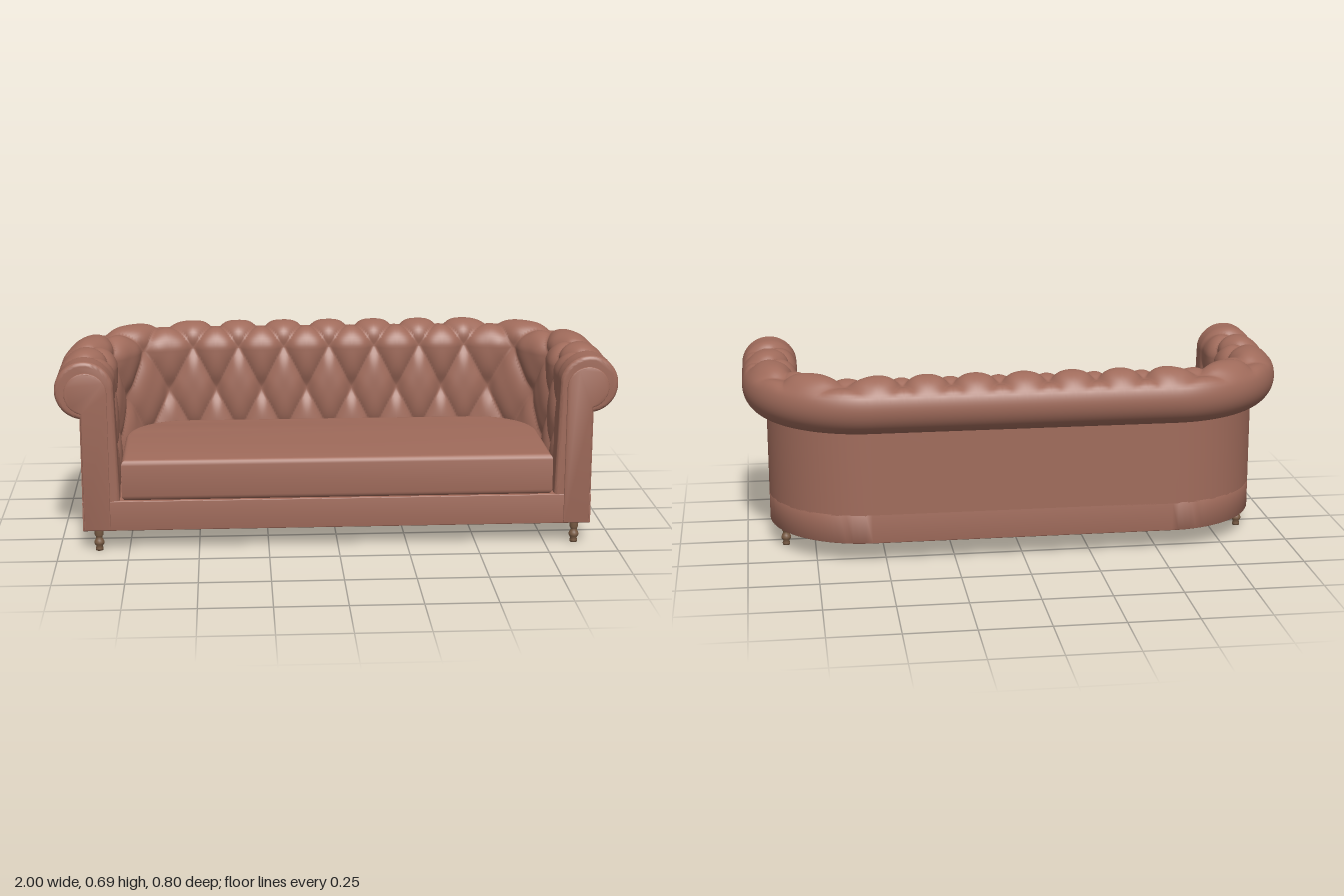
import * as THREE from 'three';
import { toCreasedNormals } from 'three/addons/utils/BufferGeometryUtils.js';

const leather = new THREE.MeshStandardMaterial({ color: 0xa06b5b });
const wood = new THREE.MeshStandardMaterial({ color: 0x7a5c44 });

// The plan is a U whose rounded back corners share one centre
const CX = 0.55, CZ = 0.05, ARC = 0.24, ARC_LEN = ARC * Math.PI / 2;
const S_END = 1.26, PITCH = S_END / 7.25, DIV = 28;
const V_DIV = DIV / 2, V0 = 7, V1 = 80;

// Point on the U at distance s along it and r outward from the corner centre
function planPoint(s, r) {
  const a = Math.abs(s), sign = Math.sign(s);
  if (a < CX) return [s, CZ - r];
  const t = (a - CX) / ARC;
  if (t < Math.PI / 2) return [sign * (CX + r * Math.sin(t)), CZ - r * Math.cos(t)];
  return [sign * (CX + r), CZ + a - CX - ARC_LEN];
}

// Outline of the U at offset r, as shape points (x, -z)
function planOutline(r, front) {
  const half = [new THREE.Vector2(CX + r, -front)];
  for (let i = 0; i <= 24; i++) {
    const t = Math.PI / 2 * (1 - i / 24);
    half.push(new THREE.Vector2(CX + r * Math.sin(t), r * Math.cos(t) - CZ));
  }
  return [...half, ...half.map(p => new THREE.Vector2(-p.x, p.y)).reverse()];
}

// Back and arm section: upright inside wall, then a round roll. v counts button rows
function section(v) {
  if (v < 3) return { r: 0.243 - (3 - v) * 0.005, y: 0.61 - (3 - v) * 0.17, nr: -1, ny: 0 };
  const a = THREE.MathUtils.degToRad(170 - (v - 3) * 92);
  const nr = Math.cos(a), ny = Math.sin(a);
  return { r: 0.345 + 0.104 * nr, y: 0.59 + 0.104 * ny, nr, ny };
}

// Depth of the diamond tufting
function tuftDepth(u, v) {
  const near = x => Math.abs(x - Math.round(x));
  const a = near(u + (v - 3) / 2), b = near(u - (v - 3) / 2);
  const puff = d => 1 - Math.pow(1 - 2 * d, 3);
  const fade = (1 - THREE.MathUtils.smoothstep(v, 4.15, 4.6))
    * (1 - THREE.MathUtils.smoothstep(Math.abs(u), 6.55, 6.95));
  return fade * (0.022 * (1 - puff(a) * puff(b)) + 0.014 * Math.exp(-(a * a + b * b) / 0.032));
}

function tuftedGeometry() {
  const cols = 2 * Math.round(S_END / PITCH * DIV), rows = V1 - V0;
  const pos = [], depth = [], index = [];
  for (let j = 0; j <= rows; j++) {
    const v = (V0 + j) / V_DIV, p = section(v);
    for (let i = 0; i <= cols; i++) {
      const u = (i - cols / 2) / DIV, d = tuftDepth(u, v);
      const [x, z] = planPoint(u * PITCH, p.r - p.nr * d);
      pos.push(x, p.y - p.ny * d, z);
      depth.push(d);
    }
  }
  // Split each quad along the deeper diagonal so folds stay crisp
  for (let j = 0; j < rows; j++) {
    for (let i = 0; i < cols; i++) {
      const a = j * (cols + 1) + i, b = a + 1, c = b + cols + 1, d = c - 1;
      if (depth[a] + depth[c] > depth[b] + depth[d]) index.push(a, b, c, a, c, d);
      else index.push(a, b, d, b, c, d);
    }
  }
  const g = new THREE.BufferGeometry();
  g.setAttribute('position', new THREE.Float32BufferAttribute(pos, 3));
  g.setIndex(index);
  g.computeVertexNormals();
  return g;
}

// Extrusion between two levels with an optional rounded edge
function slab(points, from, to, bevel = 0) {
  const g = new THREE.ExtrudeGeometry(new THREE.Shape(points), {
    depth: to - from - 2 * bevel, bevelEnabled: bevel > 0, bevelThickness: bevel,
    bevelSize: bevel, bevelOffset: -bevel, bevelSegments: 4
  });
  g.translate(0, 0, from + bevel);
  return toCreasedNormals(g, 0.6);
}
const upright = g => g.rotateX(-Math.PI / 2);

export function createModel() {
  const sofa = new THREE.Group();
  sofa.name = 'sofa';
  const add = (name, geometry, material = leather) => {
    const mesh = new THREE.Mesh(geometry, material);
    mesh.name = name;
    sofa.add(mesh);
    return mesh;
  };

  // Base, outer shell and seat
  add('base', upright(slab(planOutline(0.363, 0.4), 0.076, 0.186, 0.003)));
  const shell = [...planOutline(0.363, 0.392), ...planOutline(0.3, 0.392).reverse()];
  add('outerShell', upright(slab(shell, 0.18, 0.5)));
  add('seatCushion', upright(slab(planOutline(0.222, 0.397), 0.184, 0.335, 0.02)));

  // Tufted back and arms in one sweep
  add('tuftedBackAndArms', tuftedGeometry()).material.side = THREE.DoubleSide;

  // Turned foot profile: radius, height
  const footProfile = [[0, 0], [0.013, 0], [0.014, 0.008], [0.011, 0.015], [0.017, 0.024],
    [0.018, 0.031], [0.015, 0.039], [0.011, 0.046], [0.012, 0.052], [0.016, 0.058],
    [0.016, 0.078]].map(p => new THREE.Vector2(...p));

  for (const side of [-1, 1]) {
    const label = side > 0 ? 'left' : 'right';

    // Rounded arm end that closes the roll
    const end = [];
    for (let k = V0; k <= V1; k += 1) {
      const p = section(k / V_DIV);
      end.push(new THREE.Vector2(side * (CX + p.r), p.y));
    }
    end.push(new THREE.Vector2(side * 0.913, 0.1), new THREE.Vector2(side * 0.781, 0.1));
    add(label + 'ArmEnd', slab(end, 0.366, 0.399, 0.014));

    // Scroll facing on the arm front
    const facing = [new THREE.Vector2(side * 0.815, 0.078), new THREE.Vector2(side * 0.908, 0.078)];
    for (let k = 0; k <= 32; k++) {
      const a = THREE.MathUtils.degToRad(-76 + 256 * k / 32);
      facing.push(new THREE.Vector2(side * (0.89 + 0.075 * Math.cos(a)), 0.58 + 0.075 * Math.sin(a)));
    }
    add(label + 'ArmFacing', slab(facing, 0.385, 0.404, 0.004));

    for (const [place, z] of [['Front', 0.38], ['Rear', -0.056]]) {
      add(label + place + 'Foot', new THREE.LatheGeometry(footProfile, 20), wood)
        .position.set(side * 0.858, 0, z);
    }
  }
  return sofa;
}
